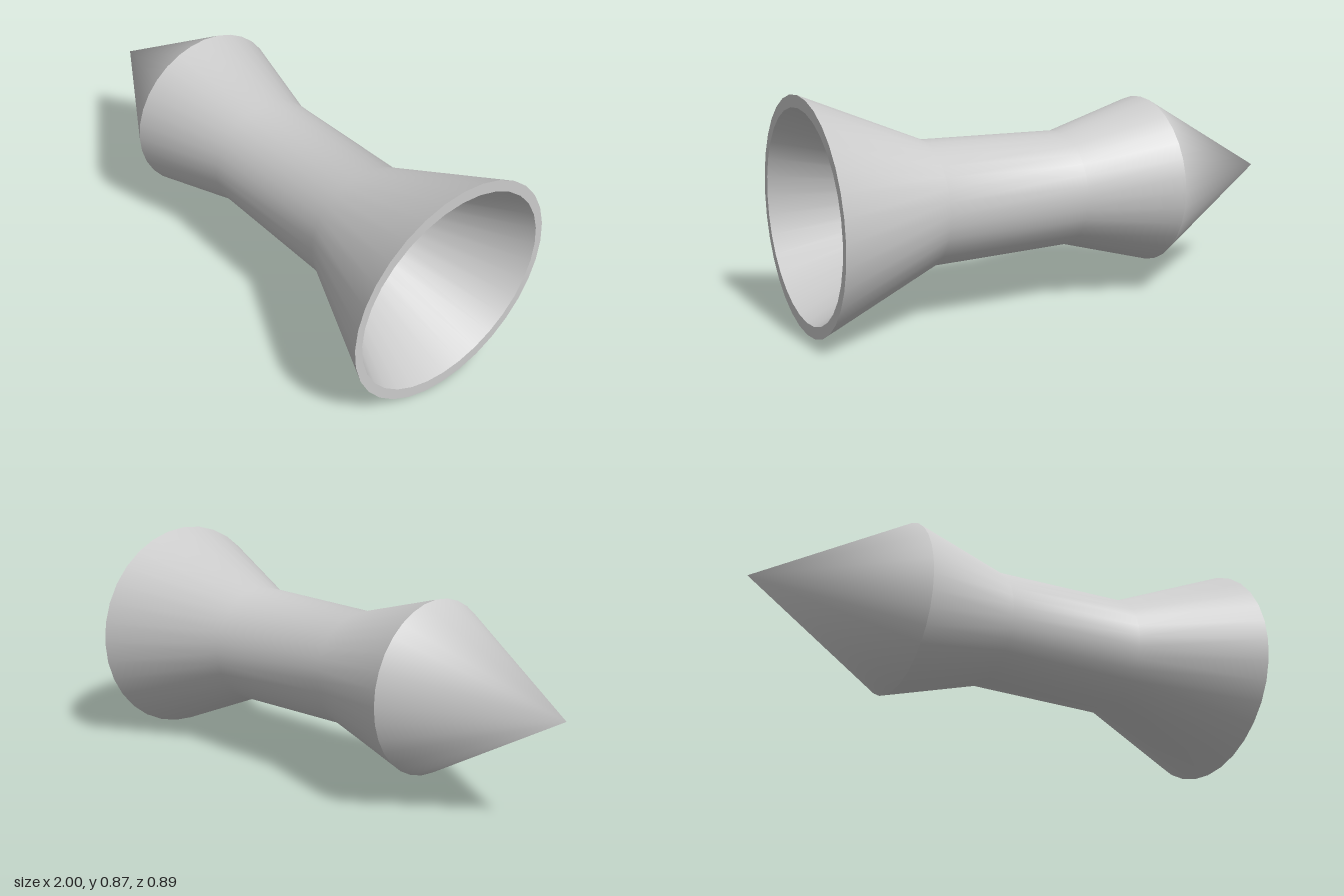
import * as THREE from 'three';
import { mergeVertices } from 'three/addons/utils/BufferGeometryUtils.js';

const SIDES = 32;
const AXIS_Y = 0.4385;

// Smooth skin through elliptical rings [x, radiusY, radiusZ] along the x axis.
// Outer skins run towards +x, inner skins towards -x.
function loft(rings) {
  const positions = [];
  const index = [];
  for (const [x, ry, rz] of rings) {
    for (let j = 0; j < SIDES; j++) {
      const a = (j / SIDES) * Math.PI * 2;
      positions.push(x, ry * Math.cos(a), rz * Math.sin(a));
    }
  }
  for (let i = 0; i < rings.length - 1; i++) {
    for (let j = 0; j < SIDES; j++) {
      const k = (j + 1) % SIDES;
      const a = i * SIDES + j, b = i * SIDES + k;
      const c = a + SIDES, d = b + SIDES;
      if (rings[i][1] > 0) index.push(a, b, c); // skip at a point
      if (rings[i + 1][1] > 0) index.push(b, d, c);
    }
  }
  const geometry = new THREE.BufferGeometry();
  geometry.setAttribute('position', new THREE.Float32BufferAttribute(positions, 3));
  geometry.setIndex(index);
  const merged = mergeVertices(geometry);
  merged.computeVertexNormals();
  return merged;
}

export function createModel() {
  const group = new THREE.Group();
  group.name = 'flaredDart';
  const material = new THREE.MeshStandardMaterial({ color: 0xcccccc });

  // Rings shared between neighbouring parts
  const shoulder = [-0.42, 0.334, 0.334];
  const mouthOuter = [1, 0.4355, 0.445];
  const mouthInner = [1, 0.39, 0.414];
  const boreEnd = [0.53, 0.178, 0.197];

  const parts = {
    nose: [[-1, 0, 0], shoulder],
    body: [shoulder, [-0.04, 0.225, 0.235], [0.53, 0.237, 0.235], mouthOuter],
    mouthRim: [mouthOuter, mouthInner],
    bellInterior: [mouthInner, boreEnd],
    bellFloor: [boreEnd, [0.53, 0, 0]],
  };

  for (const [name, rings] of Object.entries(parts)) {
    const mesh = new THREE.Mesh(loft(rings), material);
    mesh.name = name;
    mesh.position.y = AXIS_Y;
    group.add(mesh);
  }
  return group;
}
